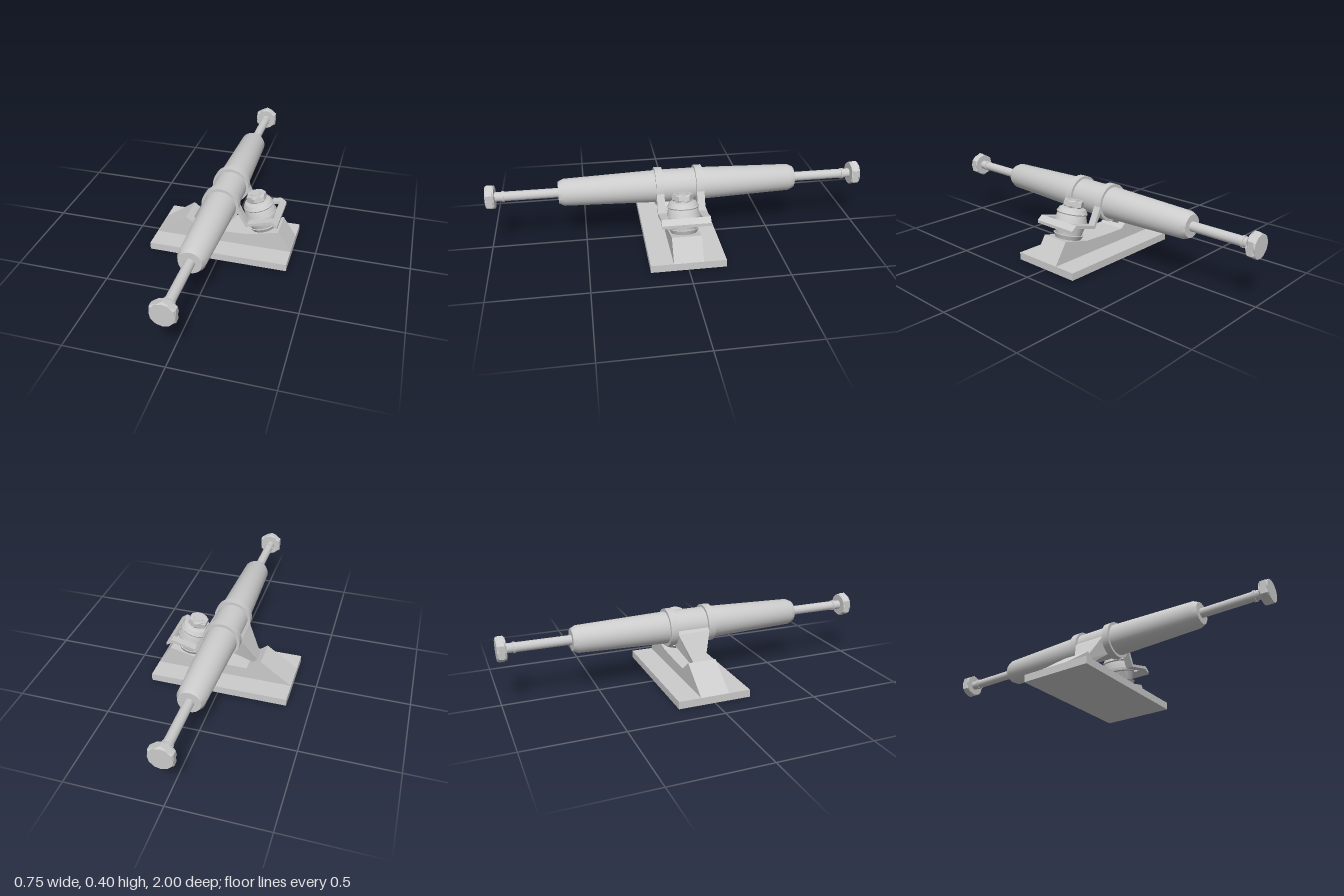
import * as THREE from 'three';
import { toCreasedNormals } from 'three/addons/utils/BufferGeometryUtils.js';

const AXLE_Y = 0.298;

export function createModel() {
  const root = new THREE.Group();
  root.name = 'skateboardTruck';
  const smooth = new THREE.MeshStandardMaterial({ color: 0xcccccc });
  const flat = new THREE.MeshStandardMaterial({ color: 0xcccccc, flatShading: true });

  const add = (name, geometry, material = flat, parent = root) => {
    const mesh = new THREE.Mesh(geometry, material);
    mesh.name = name;
    parent.add(mesh);
    return mesh;
  };

  // Turned part around +y from [radius, height] pairs, with crisp rims
  const lathe = (points) => toCreasedNormals(
    new THREE.LatheGeometry(points.map(([r, y]) => new THREE.Vector2(r, y)), 40), 0.5);

  // Side profile in x/y, extruded between two z values
  const slab = (points, z0, z1) => {
    const shape = new THREE.Shape(points.map(([x, y]) => new THREE.Vector2(x, y)));
    return new THREE.ExtrudeGeometry(shape, { depth: z1 - z0, bevelEnabled: false })
      .translate(0, 0, z0);
  };

  // Hexagonal nut along y with chamfered corners at both ends
  const hexNut = (radius, height, chamfer) => {
    const geo = new THREE.CylinderGeometry(1, 1, height, 12, 3);
    const pos = geo.attributes.position;
    const apothem = radius * Math.cos(Math.PI / 6);
    for (let i = 0; i < pos.count; i++) {
      const x = pos.getX(i), y = pos.getY(i), z = pos.getZ(i);
      const isEnd = Math.abs(y) > height * 0.4;
      const corner = Math.round(Math.atan2(x, z) / (Math.PI / 6)) % 2 === 0;
      const r = corner && !isEnd ? radius : apothem;
      pos.setXYZ(i, x * r, isEnd ? y : Math.sign(y) * (height / 2 - chamfer), z * r);
    }
    return geo;
  };

  // Baseplate and its raised spine
  add('baseplate', new THREE.BoxGeometry(0.75, 0.04, 0.39).translate(0, 0.02, 0));
  add('baseSpine', slab([
    [-0.375, 0.04], [0.375, 0.04], [0.303, 0.152], [0.145, 0.113],
    [0, 0.106], [-0.128, 0.103], [-0.205, 0.163],
  ], -0.077, 0.077));

  // Hanger assembly, turned about the axle line
  const hanger = new THREE.Group();
  hanger.name = 'hanger';
  hanger.position.y = AXLE_Y;
  hanger.rotation.x = Math.PI / 2;
  root.add(hanger);
  add('hangerBody', lathe([
    [0, -0.63], [0.058, -0.63], [0.071, -0.602], [0.086, -0.1],
    [0.086, 0.1], [0.071, 0.602], [0.058, 0.63], [0, 0.63],
  ]), smooth, hanger);
  add('axle', new THREE.CylinderGeometry(0.025, 0.025, 1.94, 24), smooth, hanger);
  for (const side of [-1, 1]) {
    add('hangerCollar', lathe([
      [0.08, -0.02], [0.1, -0.02], [0.1, 0.02], [0.08, 0.02],
    ]), smooth, hanger).position.y = side * 0.106;
    add('threadRing', new THREE.CylinderGeometry(0.029, 0.029, 0.012, 24), smooth, hanger)
      .position.y = side * 0.913;
    add('axleNut', hexNut(0.068, 0.046, 0.01), flat, hanger).position.y = side * 0.977;
  }

  // Pivot arm: loft through four-cornered sections from the hanger to the tip
  const sections = [ // upper x, y, lower x, y, half width
    [-0.05, 0.34, 0.0, 0.24, 0.09],
    [-0.098, 0.284, -0.045, 0.206, 0.088],
    [-0.175, 0.14, -0.15, 0.118, 0.032],
  ];
  const verts = [], index = [];
  for (const [ux, uy, lx, ly, w] of sections) {
    verts.push(ux, uy, w, ux, uy, -w, lx, ly, -w, lx, ly, w);
  }
  for (let s = 0; s < sections.length - 1; s++) {
    for (let k = 0; k < 4; k++) {
      const a = s * 4 + k, b = s * 4 + (k + 1) % 4;
      index.push(a, b, b + 4, a, b + 4, a + 4);
    }
  }
  index.push(8, 9, 10, 8, 10, 11);
  const arm = new THREE.BufferGeometry();
  arm.setAttribute('position', new THREE.Float32BufferAttribute(verts, 3));
  arm.setIndex(index);
  arm.computeVertexNormals();
  add('pivotArm', arm, new THREE.MeshStandardMaterial({
    color: 0xcccccc, flatShading: true, side: THREE.DoubleSide,
  }));

  // Yoke: two bent straps joined by a bar in front of the bushing
  for (const side of [-1, 1]) {
    add('yokeStrap', slab([
      [0.085, 0.285], [0.137, 0.191], [0.27, 0.226], [0.275, 0.244],
      [0.145, 0.208], [0.098, 0.302],
    ], side * 0.106 - 0.02, side * 0.106 + 0.02));
  }
  add('yokeBar', slab([
    [0.268, 0.226], [0.305, 0.206], [0.305, 0.222], [0.275, 0.244],
  ], -0.126, 0.126));

  // Kingpin stack, leaning square to the sloped seat
  const kingpin = new THREE.Group();
  kingpin.name = 'kingpinAssembly';
  kingpin.position.set(0.21, 0.13, 0);
  kingpin.rotation.z = 0.25;
  root.add(kingpin);
  add('lowerWasher', lathe([
    [0, -0.002], [0.066, -0.002], [0.08, 0.022], [0.076, 0.024], [0.064, 0.008], [0, 0.008],
  ]), smooth, kingpin);
  add('lowerBushing', lathe([
    [0, 0.005], [0.064, 0.005], [0.07, 0.03], [0.08, 0.07], [0.088, 0.075], [0.088, 0.09], [0, 0.09],
  ]), smooth, kingpin);
  add('upperBushing', lathe([
    [0, 0.088], [0.086, 0.088], [0.082, 0.105], [0.075, 0.14], [0.066, 0.152], [0, 0.152],
  ]), smooth, kingpin);
  add('upperWasher', lathe([
    [0.06, 0.148], [0.078, 0.13], [0.082, 0.136], [0.07, 0.158], [0.058, 0.164], [0, 0.164],
  ]), smooth, kingpin);
  add('kingpinNut', hexNut(0.055, 0.038, 0.008), flat, kingpin).position.y = 0.183;
  add('kingpin', new THREE.CylinderGeometry(0.028, 0.028, 0.2, 24), smooth, kingpin)
    .position.y = 0.105;

  return root;
}
